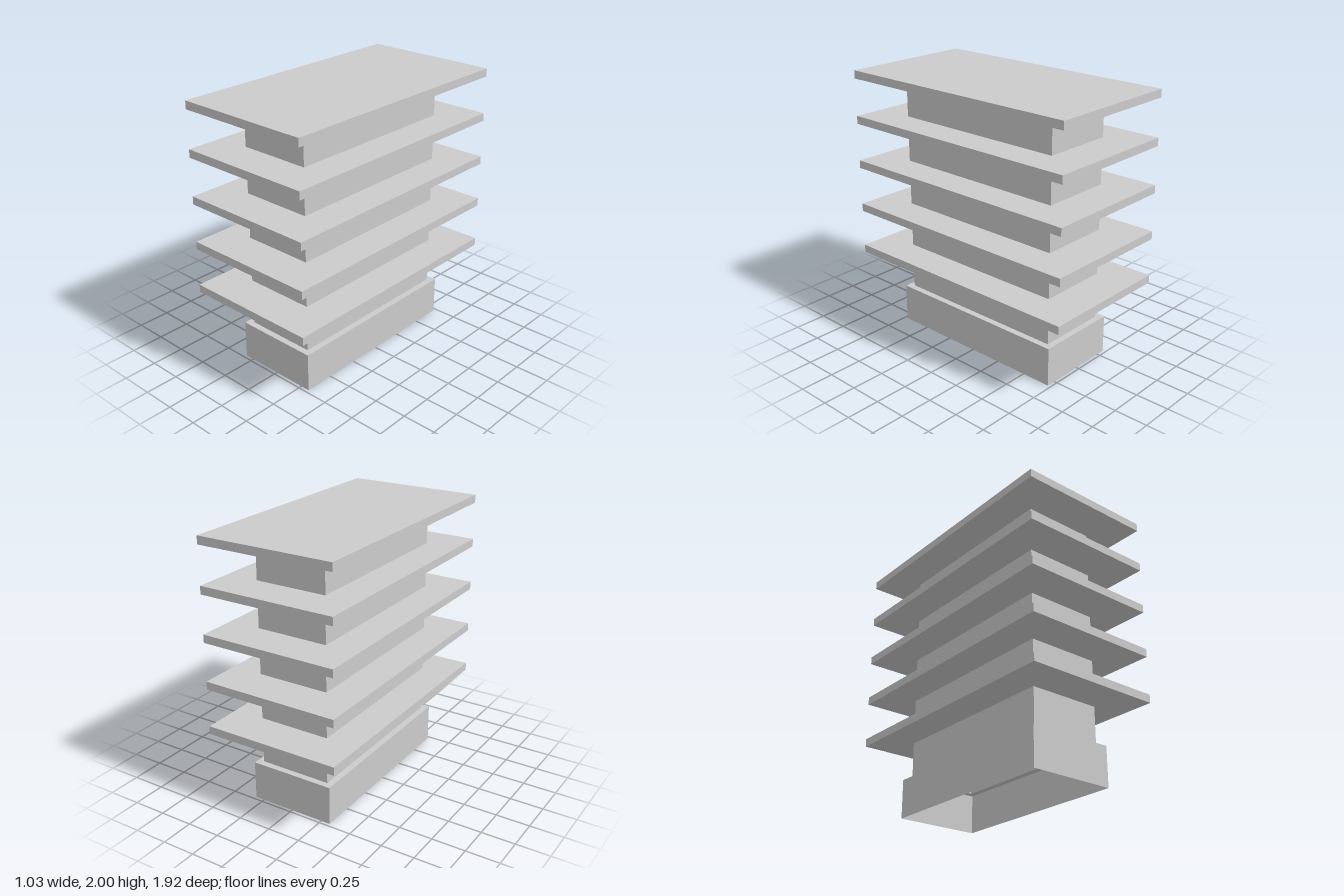
import * as THREE from 'three';

const material = new THREE.MeshStandardMaterial({ color: 0xcccccc, flatShading: true, side: THREE.DoubleSide });

// Thin open shell through rectangular rings, each given as [halfX, halfZ, y]
function rectShell(rings) {
  const corners = rings.map(([x, z, y]) => [[x, y, z], [x, y, -z], [-x, y, -z], [-x, y, z]]);
  const positions = [];
  for (let r = 0; r < rings.length - 1; r++) {
    for (let i = 0; i < 4; i++) {
      const j = (i + 1) % 4;
      const a = corners[r][i], b = corners[r][j], c = corners[r + 1][j], d = corners[r + 1][i];
      positions.push(...a, ...b, ...c, ...a, ...c, ...d);
    }
  }
  const geometry = new THREE.BufferGeometry();
  geometry.setAttribute('position', new THREE.Float32BufferAttribute(positions, 3));
  geometry.computeVertexNormals();
  return geometry;
}

export function createModel() {
  const group = new THREE.Group();
  const add = (name, geometry, y = 0) => {
    const mesh = new THREE.Mesh(geometry, material);
    mesh.name = name;
    mesh.position.y = y;
    group.add(mesh);
  };

  const coreX = 0.272, coreZ = 0.678;
  const slabHeight = 0.06;
  const slabBottoms = [0.573, 0.915, 1.26, 1.602, 1.94];
  const coreBottoms = [0.29, 0.64, 0.982, 1.322, 1.662];

  // Hollow base, open underneath, with a ledge in to the core
  add('base', rectShell([[0.32, 0.725, 0], [0.32, 0.725, 0.29], [coreX, coreZ, 0.29]]));

  // Each storey: a hollow core section carrying an overhanging slab
  slabBottoms.forEach((y, i) => {
    add(`coreSection${i + 1}`, rectShell([[coreX, coreZ, coreBottoms[i]], [coreX, coreZ, y]]));
    add(`floorSlab${i + 1}`, new THREE.BoxGeometry(1.03, slabHeight, 1.925), y + slabHeight / 2);
  });

  return group;
}
